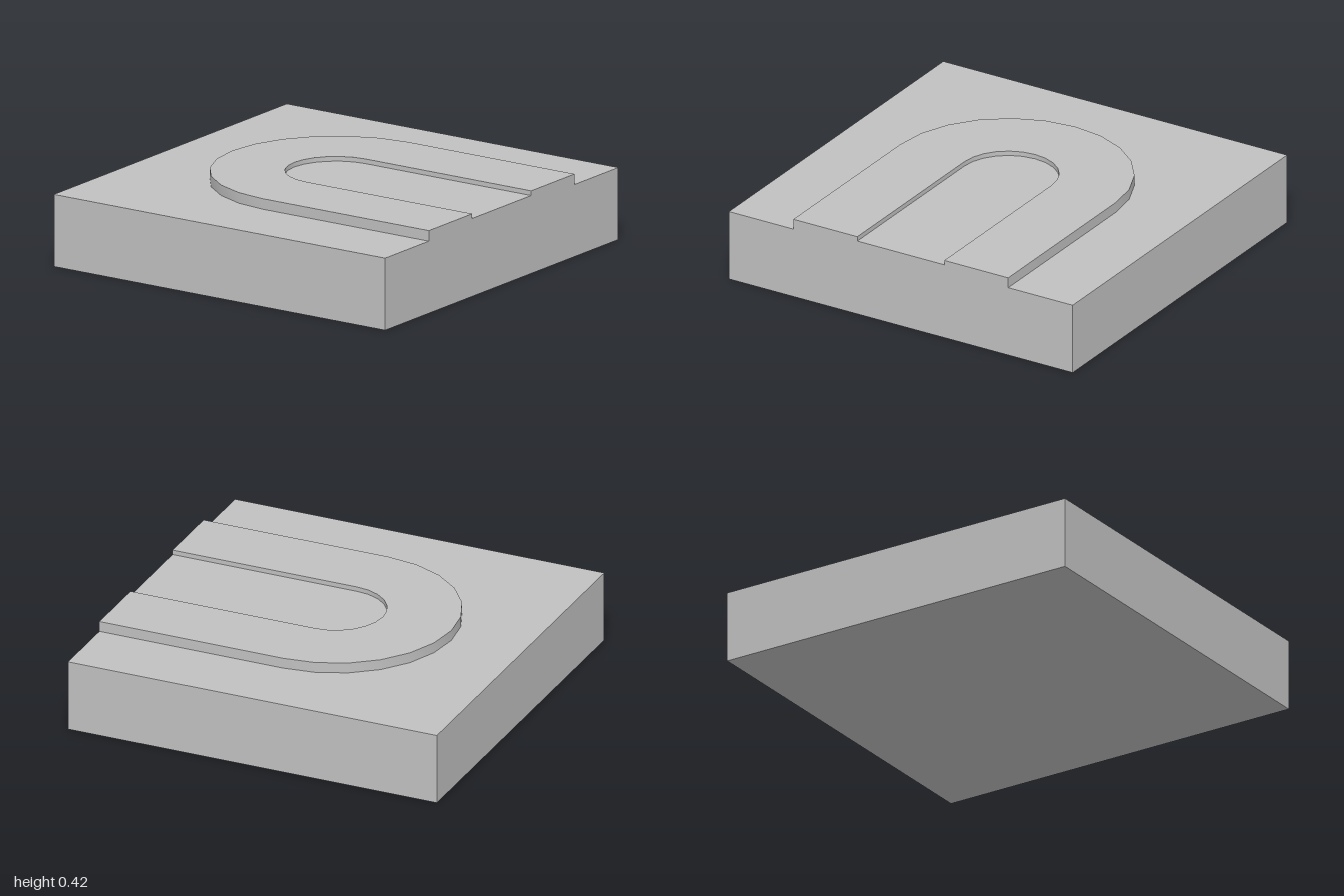
import * as THREE from 'three';
import { toCreasedNormals } from 'three/addons/utils/BufferGeometryUtils.js';

const BASE_TOP = 0.37, FLOOR_TOP = 0.4, RIM_TOP = 0.424;
const OUTER = 0.625, INNER = 0.253, SEGMENTS = 12;

// Half-stadium outline: a semicircle towards -x with straight sides out to x = 1
function archPoints(radius) {
  const points = [new THREE.Vector2(1, radius)];
  for (let i = 0; i <= SEGMENTS; i++) {
    const a = Math.PI / 2 + (Math.PI * i) / SEGMENTS;
    points.push(new THREE.Vector2(radius * Math.cos(a), radius * Math.sin(a)));
  }
  points.push(new THREE.Vector2(1, -radius));
  return points;
}

// Raises a plan outline from the base top to the given height
function raise(points, top) {
  const geometry = new THREE.ExtrudeGeometry(new THREE.Shape(points), {
    depth: top - BASE_TOP, bevelEnabled: false,
  });
  geometry.rotateX(-Math.PI / 2).translate(0, BASE_TOP, 0);
  return toCreasedNormals(geometry, 0.5);
}

export function createModel() {
  const group = new THREE.Group();
  const grey = new THREE.MeshStandardMaterial({ color: 0xc0c0c0 });
  grey.name = 'lightGrey';

  const add = (name, geometry) => {
    const mesh = new THREE.Mesh(geometry, grey);
    mesh.name = name;
    group.add(mesh);
  };

  // Square slab
  add('baseSlab', new THREE.BoxGeometry(2, BASE_TOP, 2).translate(0, BASE_TOP / 2, 0));

  // U-shaped raised band
  add('raisedBand', raise([...archPoints(OUTER), ...archPoints(INNER).reverse()], RIM_TOP));

  // Slightly lower floor inside the band
  add('channelFloor', raise(archPoints(INNER), FLOOR_TOP));

  return group;
}
